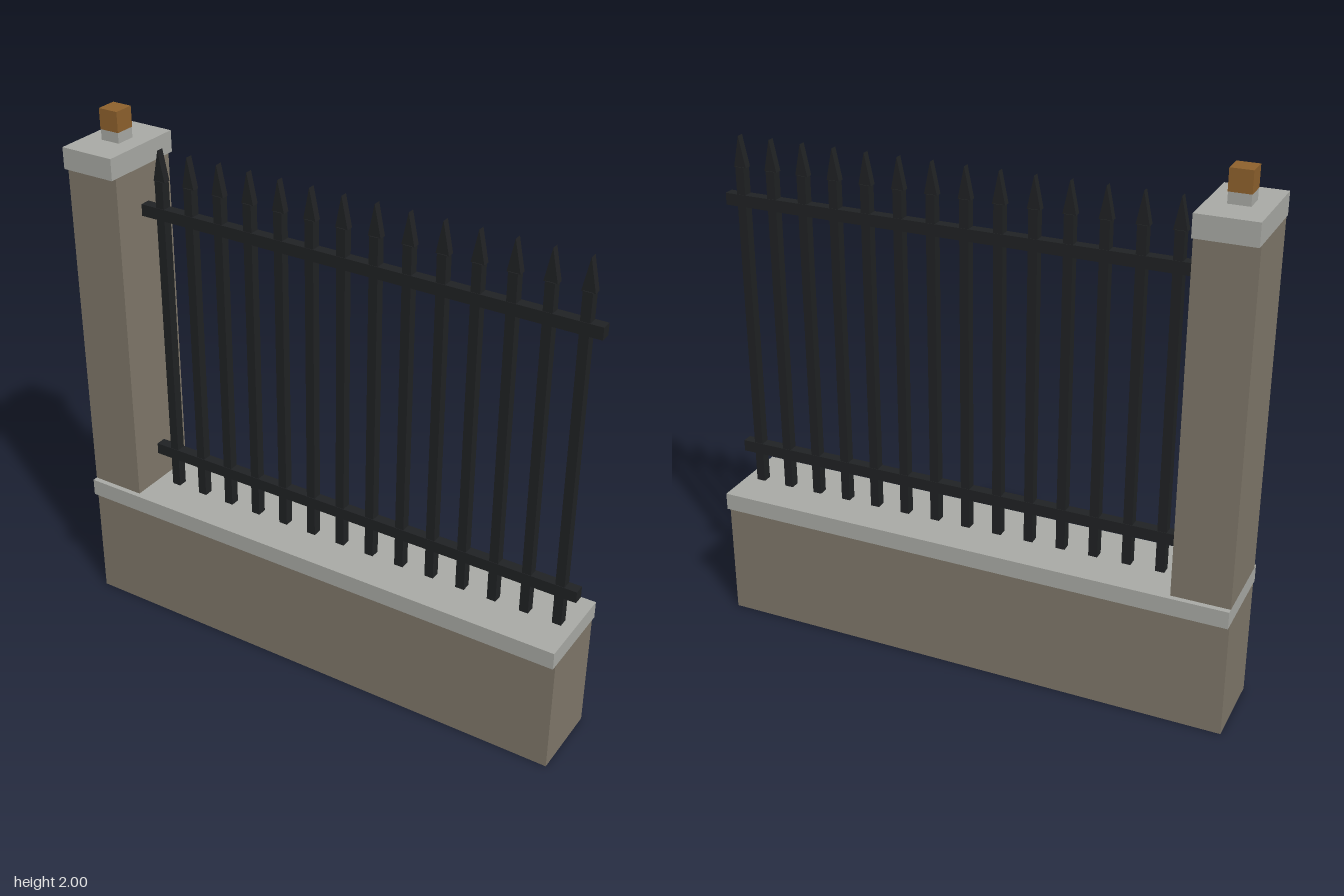
import * as THREE from 'three';

export function createModel() {
  const model = new THREE.Group();
  const paint = (name, color) => {
    const m = new THREE.MeshStandardMaterial({ color });
    m.name = name;
    return m;
  };
  const stone = paint('stone', 0x80786a);
  const coping = paint('paleStone', 0xaaaba6);
  const iron = paint('blackIron', 0x202224);
  const amber = paint('amber', 0x8f622d);

  const add = (name, geometry, material, parent = model) => {
    const mesh = new THREE.Mesh(geometry, material);
    mesh.name = name;
    parent.add(mesh);
    return mesh;
  };
  // Box given by its x range, y range and full depth, centred on z = 0
  const block = (name, x0, x1, y0, y1, depth, material, parent) => {
    const g = new THREE.BoxGeometry(x1 - x0, y1 - y0, depth);
    g.translate((x0 + x1) / 2, (y0 + y1) / 2, 0);
    return add(name, g, material, parent);
  };

  // Low wall and its coping
  block('wall', -0.99, 0.99, 0, 0.45, 0.295, stone);
  block('wallCoping', -0.99, 0.99, 0.45, 0.516, 0.335, coping);

  // Pillar with cap and lamp
  block('pillar', -0.99, -0.777, 0.516, 1.805, 0.295, stone);
  block('pillarCap', -0.99, -0.777, 1.805, 1.885, 0.335, coping);
  block('lampBase', -0.922, -0.846, 1.885, 1.924, 0.076, coping);
  block('lamp', -0.923, -0.845, 1.924, 2, 0.078, amber);

  // Iron railing
  const railing = new THREE.Group();
  railing.name = 'railing';
  model.add(railing);
  for (const y of [0.655, 1.647]) {
    block('rail', -0.777, 0.99, y - 0.022, y + 0.022, 0.04, iron, railing);
  }

  // Flat pointed spearhead
  const outline = new THREE.Shape();
  outline.moveTo(-0.024, 0);
  outline.lineTo(0.024, 0);
  outline.lineTo(0, 0.115);
  const tip = new THREE.ExtrudeGeometry(outline, { depth: 0.028, bevelEnabled: false });
  tip.translate(0, 0, -0.014);

  for (let i = 0; i < 14; i++) {
    const x = -0.696 + i * 0.1248;
    block('picket', x - 0.017, x + 0.017, 0.516, 1.77, 0.036, iron, railing);
    add('spearhead', tip, iron, railing).position.set(x, 1.768, 0);
  }
  return model;
}
